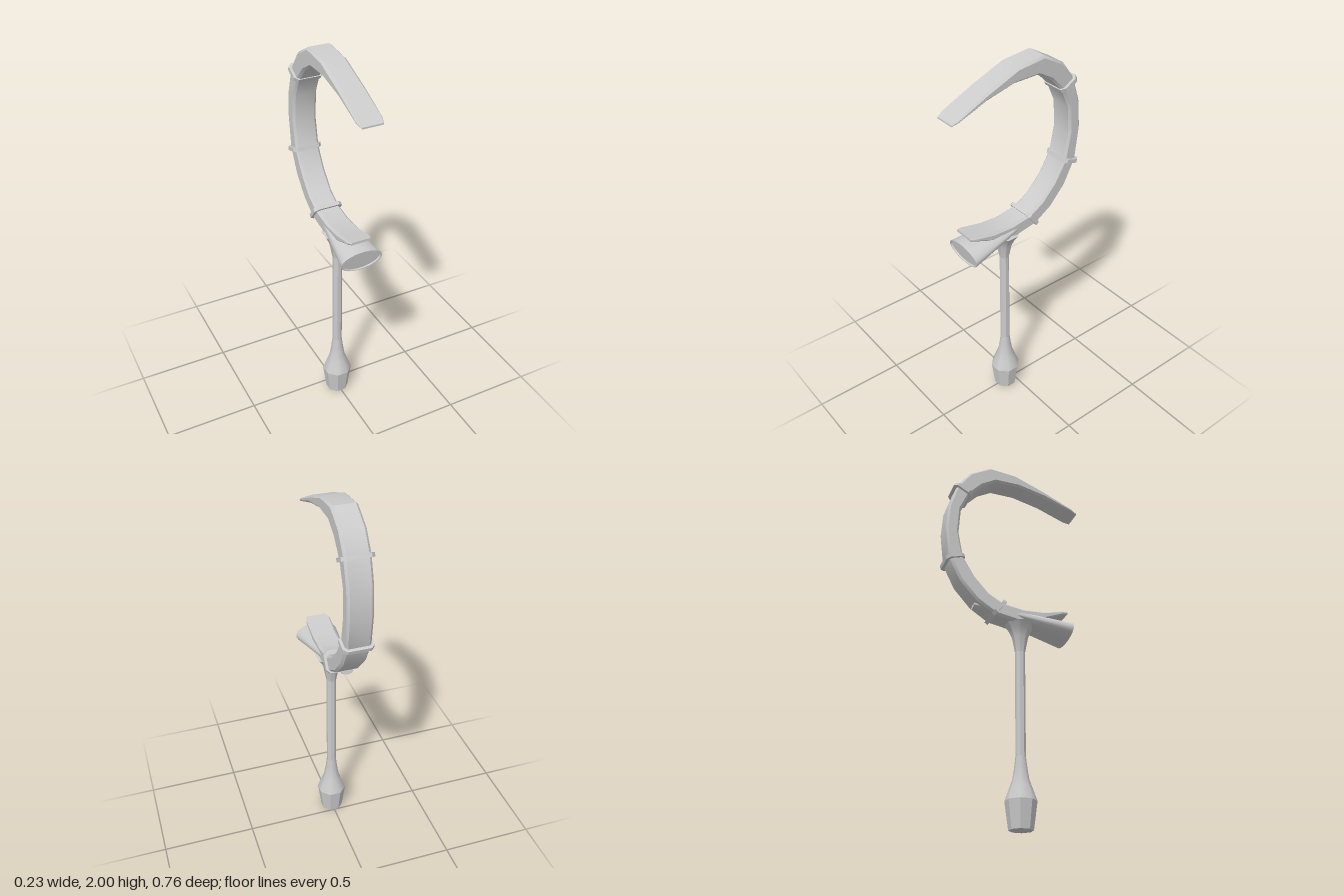
import * as THREE from 'three';
import { toCreasedNormals } from 'three/addons/utils/BufferGeometryUtils.js';

const POLE_Z = 0.057;

const material = () => new THREE.MeshStandardMaterial({ color: 0xcccccc });

function addMesh(parent, name, geometry) {
  const mesh = new THREE.Mesh(geometry, material());
  mesh.name = name;
  parent.add(mesh);
  return mesh;
}

// Chamfered rectangle spanning inner -> outer point (z, y) and +-w in x
function section([iz, iy, oz, oy], w, chamfer) {
  const t = Math.hypot(oz - iz, oy - iy);
  const c = Math.min(chamfer, t * 0.3);
  const k = c / t;
  const loop = [
    [w - c, 0], [w, k], [w, 1 - k], [w - c, 1],
    [c - w, 1], [-w, 1 - k], [-w, k], [c - w, 0],
  ];
  return loop.map(([x, v]) => [x, iy + (oy - iy) * v, iz + (oz - iz) * v]);
}

// Skin a row of eight-sided sections and close both ends
function loft(sections) {
  const n = 8, index = [];
  const last = (sections.length - 1) * n;
  for (let i = 0; i < last; i += n) {
    for (let j = 0; j < n; j++) {
      const a = i + j, b = i + (j + 1) % n;
      index.push(a, a + n, b + n, a, b + n, b);
    }
  }
  for (let j = 1; j < n - 1; j++) {
    index.push(0, j, j + 1, last, last + j + 1, last + j);
  }
  const geometry = new THREE.BufferGeometry();
  geometry.setAttribute('position', new THREE.Float32BufferAttribute(sections.flat(2), 3));
  geometry.setIndex(index);
  return toCreasedNormals(geometry, 0.6);
}

// Octagonal turned part with a flat side facing forward
function turned(profile, sides = 8) {
  const points = profile.map(([r, y]) => new THREE.Vector2(r, y));
  return new THREE.LatheGeometry(points, sides, Math.PI / sides);
}

export function createModel() {
  const model = new THREE.Group();
  model.name = 'hookStaff';

  // Curved blade: inner z, inner y, outer z, outer y, half width
  const stations = [
    [0.385, 1.808, 0.385, 1.816, 0.055],
    [0.35, 1.820, 0.35, 1.834, 0.065],
    [0.19, 1.875, 0.19, 1.915, 0.065],
    [0.035, 1.913, 0.01, 1.985, 0.065],
    [-0.10, 1.915, -0.14, 2.0, 0.065],
    [-0.18, 1.87, -0.255, 1.935, 0.065],
    [-0.255, 1.79, -0.325, 1.84, 0.065],
    [-0.30, 1.69, -0.37, 1.70, 0.065],
    [-0.31, 1.54, -0.38, 1.565, 0.065],
    [-0.28, 1.395, -0.36, 1.385, 0.065],
    [-0.215, 1.29, -0.295, 1.255, 0.065],
    [-0.135, 1.205, -0.205, 1.155, 0.065],
    [-0.055, 1.16, -0.105, 1.09, 0.065],
    [0.06, 1.142, 0.02, 1.066, 0.065],
    [0.17, 1.148, 0.17, 1.10, 0.065],
    [0.28, 1.167, 0.28, 1.147, 0.065],
    [0.31, 1.172, 0.31, 1.158, 0.055],
  ];
  addMesh(model, 'hookBlade', loft(stations.map((s) => section(s, s[4], 0.012))));

  // Narrow bands wrapped around the blade
  const bands = [
    [-0.245, 1.79, -0.34, 1.843],
    [-0.273, 1.402, -0.373, 1.373],
    [-0.042, 1.176, -0.113, 1.084],
  ];
  for (const [iz, iy, oz, oy] of bands) {
    const t = Math.hypot(oz - iz, oy - iy);
    const ends = [-0.01, 0.01].map((d) => {
      const dz = -(oy - iy) / t * d, dy = (oz - iz) / t * d;
      return section([iz + dz, iy + dy, oz + dz, oy + dy], 0.079, 0.02);
    });
    addMesh(model, 'bladeBand', loft(ends));
  }

  // Flattened horn passing under the blade, with a shallow rimmed mouth
  const hornLength = 0.53;
  const horn = toCreasedNormals(turned([
    [0, 0], [0.03, 0], [0.114, hornLength], [0.107, hornLength],
    [0.105, hornLength - 0.008], [0, hornLength - 0.008],
  ], 24), 0.6);
  horn.scale(1, 1, 0.51);
  horn.rotateX(Math.PI / 2 + 0.17);
  addMesh(model, 'horn', horn).position.set(0, 1.145, -0.205);

  // Shaft, flared neck and weighted foot
  const staff = new THREE.Group();
  staff.name = 'staff';
  staff.position.z = POLE_Z;
  model.add(staff);
  addMesh(staff, 'shaft', toCreasedNormals(turned([[0.026, 0.35], [0.026, 0.93]]), 0.6));
  addMesh(staff, 'neck', toCreasedNormals(turned([
    [0, 0.92], [0.027, 0.92], [0.042, 1.0], [0.06, 1.04], [0.083, 1.072], [0, 1.085],
  ]), 0.6));
  addMesh(staff, 'footShoulder', turned([
    [0.08, 0.14], [0.062, 0.19], [0.042, 0.245], [0.033, 0.30], [0.026, 0.36],
  ]));
  addMesh(staff, 'foot', toCreasedNormals(turned([[0, 0], [0.061, 0], [0.08, 0.14]]), 0.6));

  return model;
}
